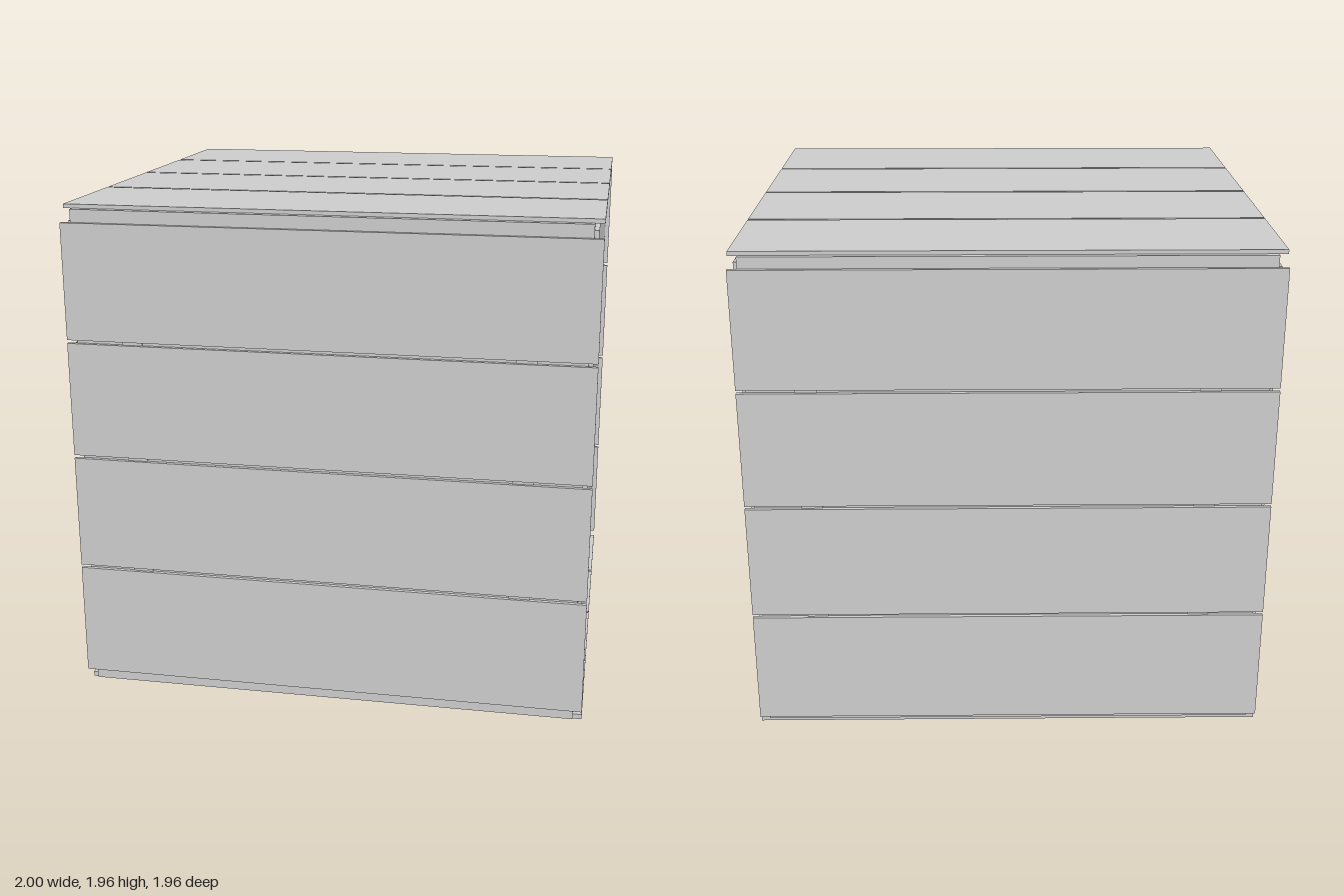
import * as THREE from 'three';

const material = new THREE.MeshStandardMaterial({ color: 0xcccccc, flatShading: true });
const THICK = 0.016, GAP = 0.013;

function box(name, w, h, d, x, y, z) {
  const mesh = new THREE.Mesh(new THREE.BoxGeometry(w, h, d), material);
  mesh.name = name;
  mesh.position.set(x, y, z);
  return mesh;
}

// Four boards stacked along local y from lo to hi, facing local +z, with small spacers in the gaps
function boardPanel(name, length, lo, hi) {
  const panel = new THREE.Group();
  panel.name = name;
  const pitch = (hi - lo + GAP) / 4;
  for (let i = 0; i < 4; i++) {
    const start = lo + i * pitch;
    panel.add(box('board', length, pitch - GAP, THICK, 0, start + (pitch - GAP) / 2, THICK / 2));
    if (i === 0) continue;
    for (const side of [-1, 1]) {
      panel.add(box('spacer', 0.08, GAP, 0.005, side * 0.745, start - GAP / 2, 0.0025));
    }
  }
  return panel;
}

export function createModel() {
  const crate = new THREE.Group();
  crate.name = 'crate';

  // Inner body the boards are fixed to
  crate.add(box('innerBody', 1.93, 1.926, 1.926, 0, 0.983, 0));

  // Upright panels
  const front = boardPanel('frontPanel', 2, 0.062, 1.897);
  front.position.z = 0.963;

  const back = boardPanel('backPanel', 2, 0.038, 1.902);
  back.rotation.y = Math.PI;
  back.position.z = -0.963;

  const left = boardPanel('leftPanel', 1.88, 0.047, 1.921);
  left.rotation.y = Math.PI / 2;
  left.position.x = 0.965;

  const right = boardPanel('rightPanel', 1.88, 0.04, 1.899);
  right.rotation.y = -Math.PI / 2;
  right.position.x = -0.965;

  // Lid and base, laid flat
  const lid = boardPanel('lidPanel', 2, -0.935, 0.942);
  lid.rotation.x = -Math.PI / 2;
  lid.position.y = 1.945;

  const base = boardPanel('basePanel', 2, -0.948, 0.921);
  base.rotation.x = Math.PI / 2;
  base.position.y = 0.02;
  base.scale.z = 0.02 / THICK;

  crate.add(front, back, left, right, lid, base);
  return crate;
}
